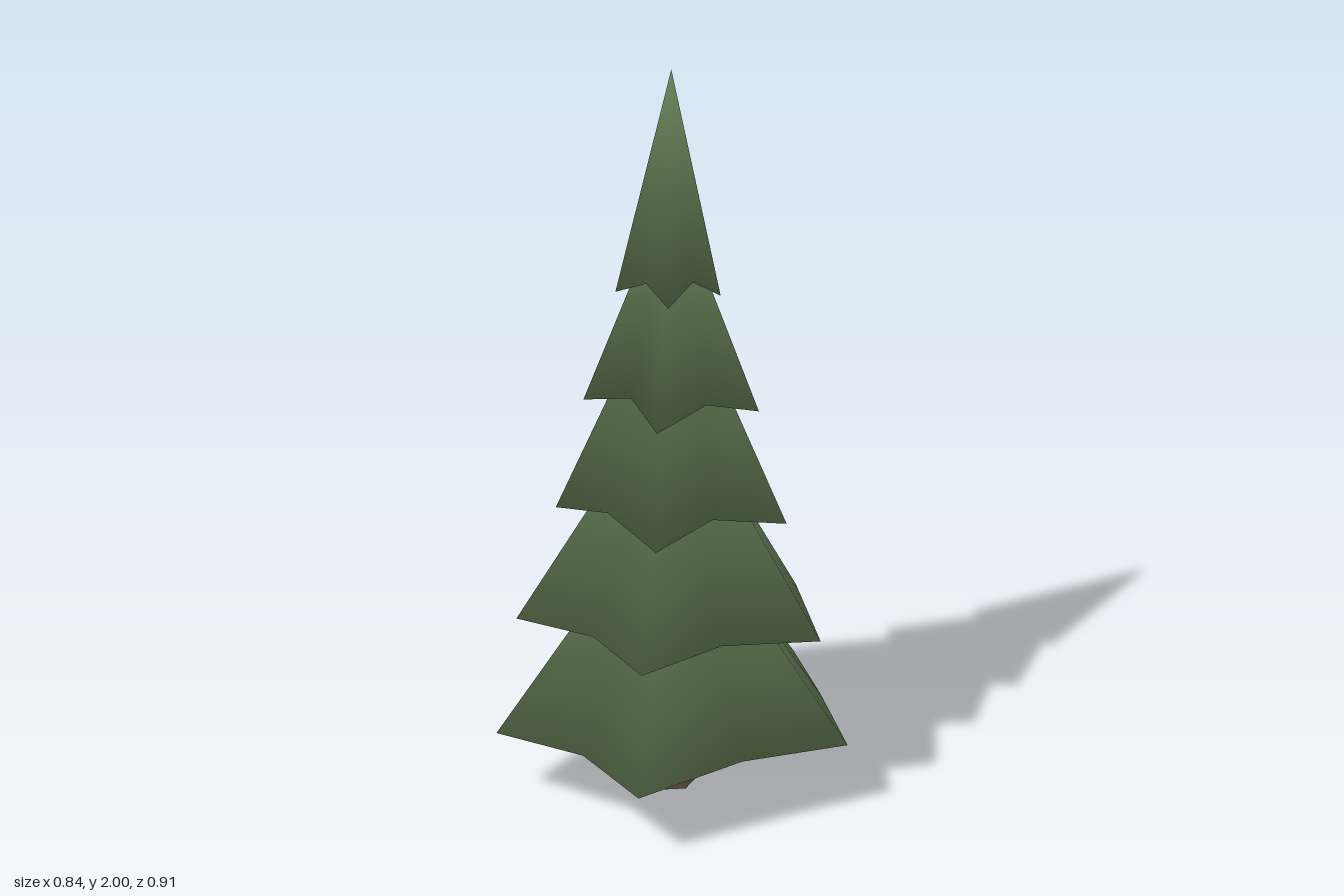
import * as THREE from 'three';

const CX = -0.055; // trunk axis

// Hem outlines as [x, z], alternating drooping tip and raised notch
const TIERS = [
  { name: 'bottomBranches', y: 0.18, lift: 0.03, ceiling: 0.29, apex: 0.82, hem: [
    [0.08, -0.457], [0.264, -0.207], [0.417, -0.027], [0.235, 0.218], [0.055, 0.457],
    [-0.145, 0.348], [-0.419, 0.265], [-0.387, 0.023], [-0.419, -0.237], [-0.136, -0.309]] },
  { name: 'lowerBranches', y: 0.485, lift: 0.03, ceiling: 0.565, apex: 1.12, hem: [
    [0.05, -0.402], [0.203, -0.191], [0.365, 0.023], [0.172, 0.202], [0.03, 0.381],
    [-0.145, 0.284], [-0.387, 0.213], [-0.365, -0.014], [-0.38, -0.257], [-0.116, -0.251]] },
  { name: 'middleBranches', y: 0.79, lift: 0.035, ceiling: 0.86, apex: 1.45, hem: [
    [0.02, -0.304], [0.11, -0.13], [0.266, 0.01], [0.115, 0.129], [0.03, 0.291],
    [-0.143, 0.199], [-0.303, 0.158], [-0.293, 0.015], [-0.332, -0.169], [-0.1, -0.187]] },
  { name: 'upperBranches', y: 1.09, lift: 0.035, ceiling: 1.15, apex: 1.67, hem: [
    [0.03, -0.225], [0.082, -0.091], [0.189, 0.008], [0.082, 0.093], [0.005, 0.226],
    [-0.107, 0.134], [-0.242, 0.124], [-0.203, -0.009], [-0.23, -0.137], [-0.09, -0.154]] },
  { name: 'treeTop', y: 1.395, lift: 0.04, ceiling: 1.45, apex: 2, hem: [
    [-0.005, -0.135], [0.022, -0.07], [0.085, 0.01], [0.022, 0.039], [-0.007, 0.129],
    [-0.082, 0.095], [-0.167, 0.095], [-0.16, -0.004], [-0.17, -0.077], [-0.082, -0.091]] },
];

// Vertex normals weighted by corner angle, so the hem rolls softly under
function smoothNormals(points, faces) {
  const normals = points.map(() => new THREE.Vector3());
  for (const face of faces) {
    const [a, b, c] = face.map((i) => points[i]);
    const faceNormal = new THREE.Triangle(a, b, c).getNormal(new THREE.Vector3());
    face.forEach((v, k) => {
      const toNext = points[face[(k + 1) % 3]].clone().sub(points[v]);
      const toLast = points[face[(k + 2) % 3]].clone().sub(points[v]);
      normals[v].addScaledVector(faceNormal, toNext.angleTo(toLast));
    });
  }
  return normals.map((n) => n.normalize());
}

// Star-shaped cone closed below by a shallow hollow underside
function skirtGeometry({ y, lift, ceiling, apex, hem }) {
  const points = [new THREE.Vector3(CX, apex, 0), new THREE.Vector3(CX, ceiling, 0)];
  const faces = [];
  hem.forEach(([x, z], i) => {
    points.push(new THREE.Vector3(x, y + (i % 2) * lift, z));
    const here = 2 + i;
    const next = 2 + (i + 1) % hem.length;
    faces.push([0, next, here], [1, here, next]);
  });
  const geometry = new THREE.BufferGeometry().setFromPoints(points);
  const normals = smoothNormals(points, faces).flatMap((n) => n.toArray());
  geometry.setAttribute('normal', new THREE.Float32BufferAttribute(normals, 3));
  geometry.setIndex(faces.flat());
  return geometry;
}

export function createModel() {
  const needles = new THREE.MeshStandardMaterial({ color: 0x657d55 });
  needles.name = 'needleGreen';
  const bark = new THREE.MeshStandardMaterial({ color: 0x6a5549 });
  bark.name = 'barkBrown';

  const tree = new THREE.Group();
  tree.name = 'pineTree';

  // Six-sided trunk reaching up into the lowest branches
  const trunk = new THREE.Mesh(new THREE.CylinderGeometry(0.055, 0.061, 0.4, 6), bark);
  trunk.name = 'trunk';
  trunk.position.set(CX, 0.2, 0);
  tree.add(trunk);

  // Stacked branch skirts
  for (const tier of TIERS) {
    const skirt = new THREE.Mesh(skirtGeometry(tier), needles);
    skirt.name = tier.name;
    tree.add(skirt);
  }
  return tree;
}
